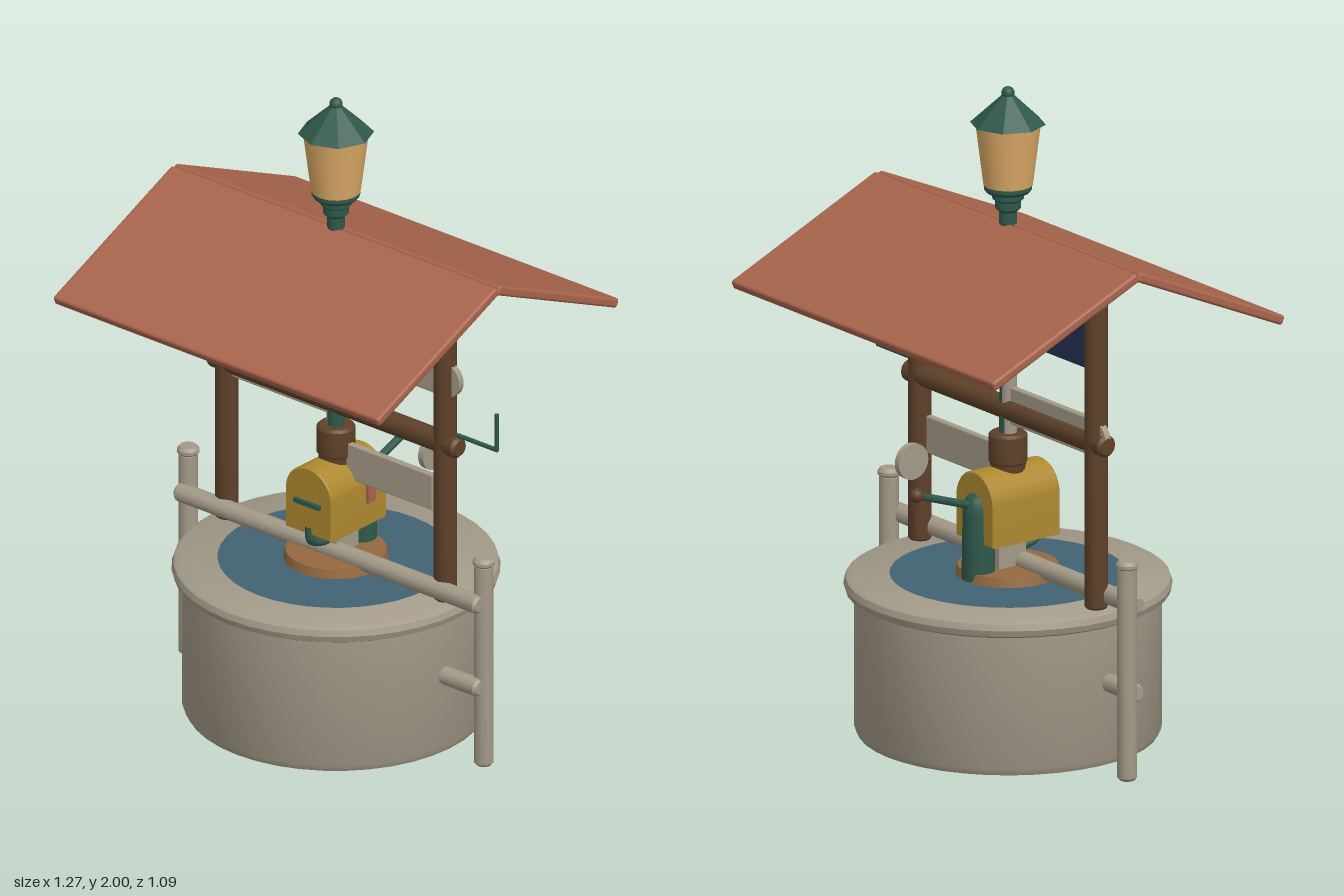
import * as THREE from 'three';
import { toCreasedNormals } from 'three/addons/utils/BufferGeometryUtils.js';
import { RoundedBoxGeometry } from 'three/addons/geometries/RoundedBoxGeometry.js';

const colour = (name, hex) => {
  const m = new THREE.MeshStandardMaterial({ color: hex });
  m.name = name;
  return m;
};

export function createModel() {
  const root = new THREE.Group();
  root.name = 'wishingWell';

  const stone = colour('stone', 0xa39a88);
  const timber = colour('dark timber', 0x5e4129);
  const tile = colour('roof red', 0xa8644c);
  const green = colour('iron green', 0x2f584a);
  const glass = colour('amber glass', 0xdcaa66);
  const gold = colour('gold paint', 0xad882f);
  const tan = colour('tan wood', 0x94683f);
  const navy = colour('navy', 0x283050);
  const water = colour('water blue', 0x426373);

  const add = (name, geo, mat, x = 0, y = 0, z = 0) => {
    const mesh = new THREE.Mesh(geo, mat);
    mesh.name = name;
    mesh.position.set(x, y, z);
    root.add(mesh);
    return mesh;
  };
  // Turned shape from [radius, height] pairs, listed bottom to top
  const turned = (pts, seg = 16) => toCreasedNormals(
    new THREE.LatheGeometry(pts.map(([r, y]) => new THREE.Vector2(r, y)), seg), 0.6);
  // Round bar with chamfered ends, standing from y0 to y1
  const bar = (r, y0, y1, seg = 12) => turned(
    [[0, y0], [r * 0.75, y0], [r, y0 + r * 0.3], [r, y1 - r * 0.3], [r * 0.75, y1], [0, y1]], seg);
  const tube = (pts, r, seg = 24) => new THREE.TubeGeometry(
    new THREE.CatmullRomCurve3(pts.map(p => new THREE.Vector3(...p))), seg, r, 10);

  // Well basin, rim and water
  add('basin', turned([[0, 0.003], [0.425, 0.003], [0.445, 0.009], [0.455, 0.03], [0.455, 0.455]], 40), stone);
  add('basinRim', turned([[0.44, 0.44], [0.465, 0.44], [0.48, 0.448], [0.486, 0.467],
    [0.48, 0.486], [0.465, 0.495], [0, 0.495]], 40), stone);
  add('water', new THREE.CircleGeometry(0.35, 40), water, 0, 0.4975).rotation.x = -Math.PI / 2;
  add('drainCover', new THREE.CircleGeometry(0.15, 24), tan, 0, 0.001).rotation.x = Math.PI / 2;

  // Fence posts and rails
  for (const s of [-1, 1]) {
    add('fencePost', bar(0.03, 0, 0.66), stone, s * 0.577);
    add('fencePostCap', bar(0.034, 0.648, 0.678), stone, s * 0.577);
    add('lowerRail', bar(0.028, -0.09, 0.09), stone, s * 0.5, 0.263, 0.03).rotation.z = Math.PI / 2;
  }
  add('upperRail', bar(0.029, -0.59, 0.59), stone, 0, 0.535, 0.03).rotation.z = Math.PI / 2;

  // Roof posts and the two roof slopes
  for (const s of [-1, 1]) {
    add('roofPost', bar(0.035, 0.49, 1.437), timber, s * 0.427);
    const slope = add('roofSlope', new RoundedBoxGeometry(1.272, 0.03, 0.59, 2, 0.009), tile, 0, 1.449, s * 0.27);
    slope.rotation.x = s * 0.4164;
  }

  // Windlass and crank
  add('windlass', bar(0.034, -0.485, 0.485), timber, 0, 1.005).rotation.z = Math.PI / 2;
  add('crankArm', new THREE.CylinderGeometry(0.007, 0.007, 0.155, 8), green, 0.553, 1.045).rotation.z = Math.PI / 2;
  add('crankHandle', new THREE.CylinderGeometry(0.007, 0.007, 0.12, 8), green, 0.628, 1.102);

  // Centre pole with a pale sleeve on its lower part
  add('lampPole', new THREE.CylinderGeometry(0.025, 0.027, 1.12, 12), green, 0, 1.06);
  add('signPole', new THREE.CylinderGeometry(0.025, 0.025, 0.8, 12), stone, -0.004, 0.9);
  add('poleKnob', new THREE.SphereGeometry(0.014, 10, 8), green, 0, 1.44, 0.03);

  // Direction boards, each with a round plate
  const board = (x0, x1, y) => add('signBoard',
    new RoundedBoxGeometry(x1 - x0, 0.115, 0.022, 2, 0.005), stone, (x0 + x1) / 2, y);
  const plate = (x, y, z) => add('signPlate', new THREE.CylinderGeometry(0.055, 0.055, 0.02, 24), stone, x, y, z);
  board(0.02, 0.44, 1.217);
  plate(0.435, 1.217, 0).rotation.x = Math.PI / 2;
  board(-0.43, 0, 1.02);
  plate(-0.43, 1.02, 0).rotation.x = Math.PI / 2;
  board(0.03, 0.385, 0.83);
  plate(0.2, 0.83, -0.205).rotation.z = Math.PI / 2;

  // Hanging notice board
  add('noticeFrame', new RoundedBoxGeometry(0.665, 0.185, 0.024, 2, 0.008), navy, 0, 1.295, 0.046);
  add('noticePanel', new THREE.BoxGeometry(0.595, 0.115, 0.008), stone, 0, 1.297, 0.061);

  // Arched letter box with slot and flag
  const arch = new THREE.Shape();
  arch.moveTo(-0.087, 0);
  arch.lineTo(0.087, 0);
  arch.lineTo(0.087, 0.122);
  arch.absarc(0, 0.122, 0.087, 0, Math.PI, false);
  arch.closePath();
  const archGeo = new THREE.ExtrudeGeometry(arch, { depth: 0.24, curveSegments: 20,
    bevelEnabled: true, bevelSize: 0.004, bevelThickness: 0.005, bevelSegments: 1 });
  add('letterBox', toCreasedNormals(archGeo, 0.5), gold, 0, 0.618, -0.12);
  add('letterSlot', new THREE.BoxGeometry(0.1, 0.014, 0.012), green, 0, 0.717, 0.13);
  add('letterFlag', new THREE.BoxGeometry(0.01, 0.09, 0.035), tile, 0.096, 0.735, -0.047);
  add('letterBoxPost', new THREE.BoxGeometry(0.07, 0.12, 0.1), stone, 0, 0.56, -0.01);

  // Bucket under the windlass
  add('bucket', turned([[0, 0.8], [0.05, 0.8], [0.053, 0.84], [0.058, 0.845],
    [0.058, 0.925], [0.05, 0.933], [0, 0.933]], 20), timber);

  // Hand pump: plinth, column, lever and spout
  add('pumpPlinth', new THREE.CylinderGeometry(0.15, 0.157, 0.03, 28), tan, 0, 0.51);
  add('pumpColumn', turned([[0, 0.5], [0.05, 0.5], [0.047, 0.7], [0.046, 0.725],
    [0.036, 0.752], [0.018, 0.765], [0, 0.768]], 20), green, 0, 0, -0.11);
  add('pumpLever', tube([[0, 0.725, -0.12], [0, 0.762, -0.23], [0, 0.8, -0.34]], 0.012), green);
  add('leverKnob', new THREE.SphereGeometry(0.022, 14, 10), timber, 0, 0.8, -0.34);
  add('pumpSpout', tube([[0, 0.56, -0.1], [0, 0.565, 0.03], [0, 0.583, 0.1],
    [0, 0.6, 0.117], [0, 0.64, 0.118]], 0.014), green);

  // Street lantern
  add('lanternCollar', turned([[0, 1.58], [0.027, 1.58], [0.027, 1.615], [0.038, 1.625], [0.038, 1.648],
    [0.047, 1.655], [0.047, 1.672], [0.064, 1.675], [0.072, 1.685], [0.072, 1.699], [0, 1.699]], 16), green);
  add('lanternGlass', new THREE.CylinderGeometry(0.098, 0.074, 0.19, 16), glass, 0, 1.793);
  const cap = new THREE.CylinderGeometry(0.016, 0.113, 0.09, 8).toNonIndexed();
  cap.computeVertexNormals();
  add('lanternCap', cap, green, 0, 1.931);
  add('lanternFinial', new THREE.SphereGeometry(0.02, 14, 10), green, 0, 1.98);

  return root;
}
